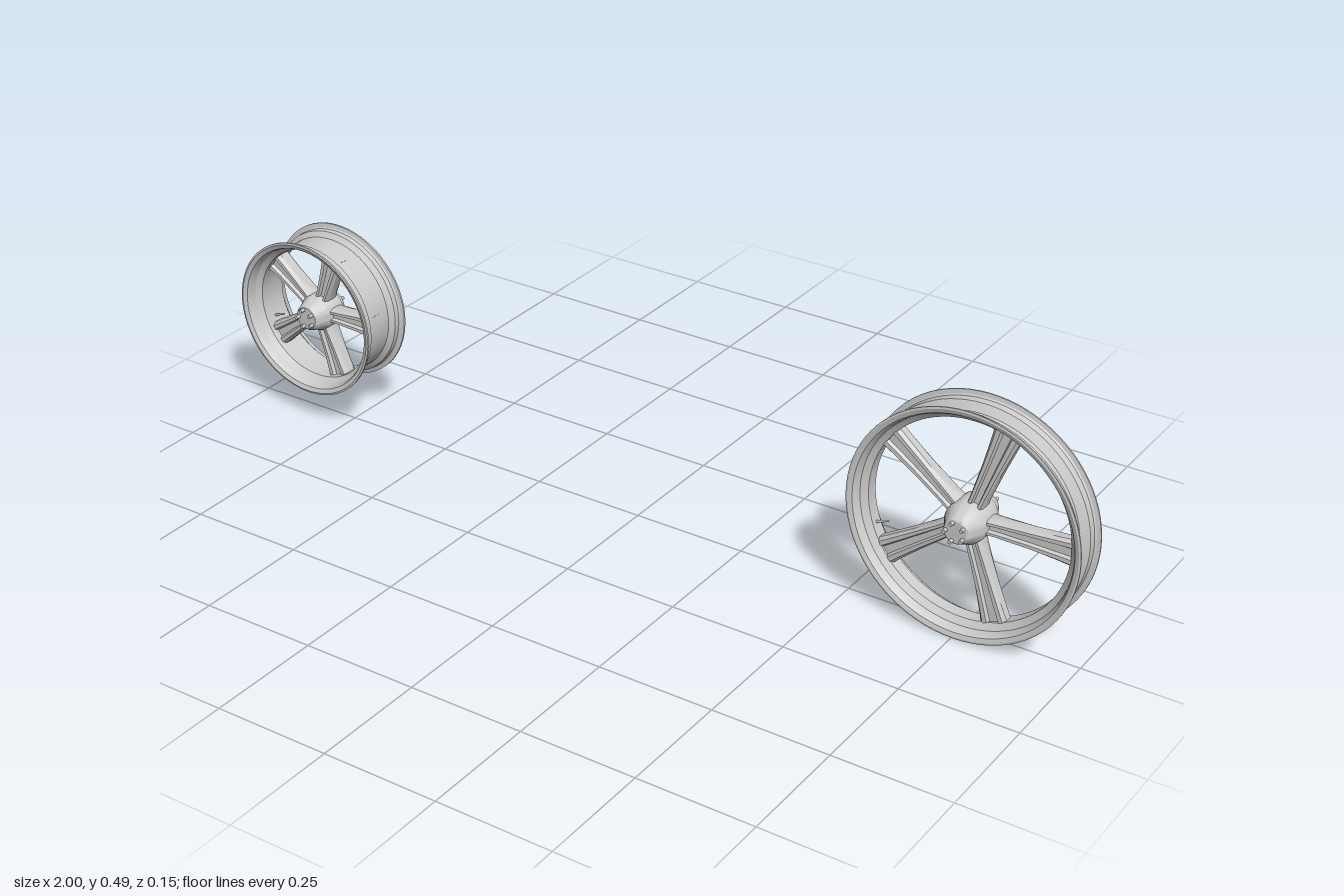
import * as THREE from 'three';
import { toCreasedNormals } from 'three/addons/utils/BufferGeometryUtils.js';

const metal = new THREE.MeshStandardMaterial({ color: 0xcccccc });
metal.name = 'castMetal';

function part(name, geometry) {
  const mesh = new THREE.Mesh(geometry, metal);
  mesh.name = name;
  return mesh;
}

// Turned part about the z axis; profile is a list of [z, radius] from back to front
function turned(profile, segments) {
  const points = profile.map(([z, r]) => new THREE.Vector2(r, z));
  const g = new THREE.LatheGeometry(points, segments).rotateX(Math.PI / 2);
  return toCreasedNormals(g, 0.5);
}

// Tapered spoke along +x, grooved on both faces; stations are [x, half width, half depth]
function spokeGeometry(stations) {
  const quarter = [[1, 0.55], [0.78, 1], [0.45, 1], [0.3, 0.6]];
  const ring = [
    ...quarter,
    ...quarter.map(([y, z]) => [-y, z]).reverse(),
    ...quarter.map(([y, z]) => [-y, -z]),
    ...quarter.map(([y, z]) => [y, -z]).reverse(),
  ];
  const n = ring.length, pos = [], index = [];
  stations.forEach(([x, w, d], i) => {
    for (const [y, z] of ring) pos.push(x, y * w, z * d);
    if (i === 0) return;
    for (let j = 0; j < n; j++) {
      const a = (i - 1) * n + j, b = (i - 1) * n + (j + 1) % n;
      index.push(a, b, a + n, b, b + n, a + n);
    }
  });
  const g = new THREE.BufferGeometry();
  g.setAttribute('position', new THREE.Float32BufferAttribute(pos, 3));
  g.setIndex(index);
  return toCreasedNormals(g, 0.5);
}

function makeWheel(name, s) {
  const wheel = new THREE.Group();
  wheel.name = name;

  // Rim: outer profile back to front, then inner wall front to back
  wheel.add(part('rim', turned([...s.outer, ...s.inner, s.outer[0]], 80)));

  // Hub and its front and back bolt circles
  wheel.add(part('hub', turned(s.hub, 40)));
  for (const [z0, z1] of s.bolts) {
    for (let i = 0; i < 5; i++) {
      const a = (i + 0.5) * Math.PI * 2 / 5;
      const bolt = part('hubBolt', new THREE.CylinderGeometry(0.004, 0.004, z1 - z0, 8).rotateX(Math.PI / 2));
      bolt.position.set(Math.cos(a) * s.boltRadius, Math.sin(a) * s.boltRadius, (z0 + z1) / 2);
      wheel.add(bolt);
    }
  }

  // Five spokes
  const geometry = spokeGeometry(s.spoke);
  for (let i = 0; i < 5; i++) {
    const spoke = part('spoke', geometry);
    spoke.rotation.z = i * Math.PI * 2 / 5;
    wheel.add(spoke);
  }

  // Valve stem pointing inward from the rim
  const stem = part('valveStem', new THREE.CylinderGeometry(0.002, 0.003, 0.03, 8).rotateZ(Math.PI / 2));
  const a = 3.5;
  stem.rotation.z = a;
  stem.position.set(Math.cos(a) * s.valve, Math.sin(a) * s.valve, 0);
  wheel.add(stem);
  return wheel;
}

export function createModel() {
  const model = new THREE.Group();
  model.name = 'wheelPair';

  // Tall narrow wheel
  const tall = makeWheel('tallWheel', {
    outer: [[-0.045, 0.242], [-0.044, 0.246], [-0.041, 0.246], [-0.039, 0.238], [-0.036, 0.235],
      [-0.021, 0.234], [-0.01, 0.218], [0.01, 0.218], [0.021, 0.234], [0.036, 0.235],
      [0.039, 0.238], [0.041, 0.246], [0.044, 0.246], [0.045, 0.242]],
    inner: [[0.042, 0.233], [0.036, 0.229], [0.024, 0.226], [0.014, 0.213],
      [-0.014, 0.213], [-0.024, 0.226], [-0.036, 0.229], [-0.042, 0.233]],
    hub: [[-0.064, 0], [-0.064, 0.023], [-0.062, 0.026], [-0.045, 0.033], [-0.03, 0.042], [-0.015, 0.044],
      [0.015, 0.044], [0.03, 0.042], [0.045, 0.033], [0.062, 0.026], [0.064, 0.023], [0.064, 0]],
    bolts: [[0.06, 0.074], [-0.073, -0.06]],
    boltRadius: 0.02,
    spoke: [[0.025, 0.016, 0.022], [0.06, 0.017, 0.019], [0.13, 0.021, 0.016], [0.19, 0.026, 0.015], [0.216, 0.029, 0.015]],
    valve: 0.2,
  });
  tall.position.set(0.754, 0.246, 0);
  model.add(tall);

  // Short wide wheel
  const wide = makeWheel('wideWheel', {
    outer: [[-0.066, 0.172], [-0.065, 0.176], [-0.061, 0.176], [-0.059, 0.168], [-0.056, 0.165],
      [-0.045, 0.164], [-0.036, 0.153], [0.026, 0.153], [0.036, 0.164], [0.054, 0.165],
      [0.057, 0.168], [0.059, 0.176], [0.063, 0.176], [0.064, 0.172]],
    inner: [[0.06, 0.163], [0.054, 0.16], [0.039, 0.158], [0.028, 0.148],
      [-0.038, 0.148], [-0.048, 0.158], [-0.056, 0.16], [-0.062, 0.163]],
    hub: [[-0.04, 0], [-0.04, 0.026], [-0.038, 0.029], [-0.028, 0.031], [-0.022, 0.04],
      [0.022, 0.04], [0.03, 0.036], [0.052, 0.028], [0.055, 0.025], [0.055, 0]],
    bolts: [[0.05, 0.066], [-0.05, -0.036]],
    boltRadius: 0.02,
    spoke: [[0.025, 0.015, 0.022], [0.05, 0.016, 0.02], [0.1, 0.021, 0.018], [0.135, 0.025, 0.018], [0.151, 0.027, 0.018]],
    valve: 0.135,
  });
  wide.position.set(-0.824, 0.246, 0);
  model.add(wide);

  return model;
}
